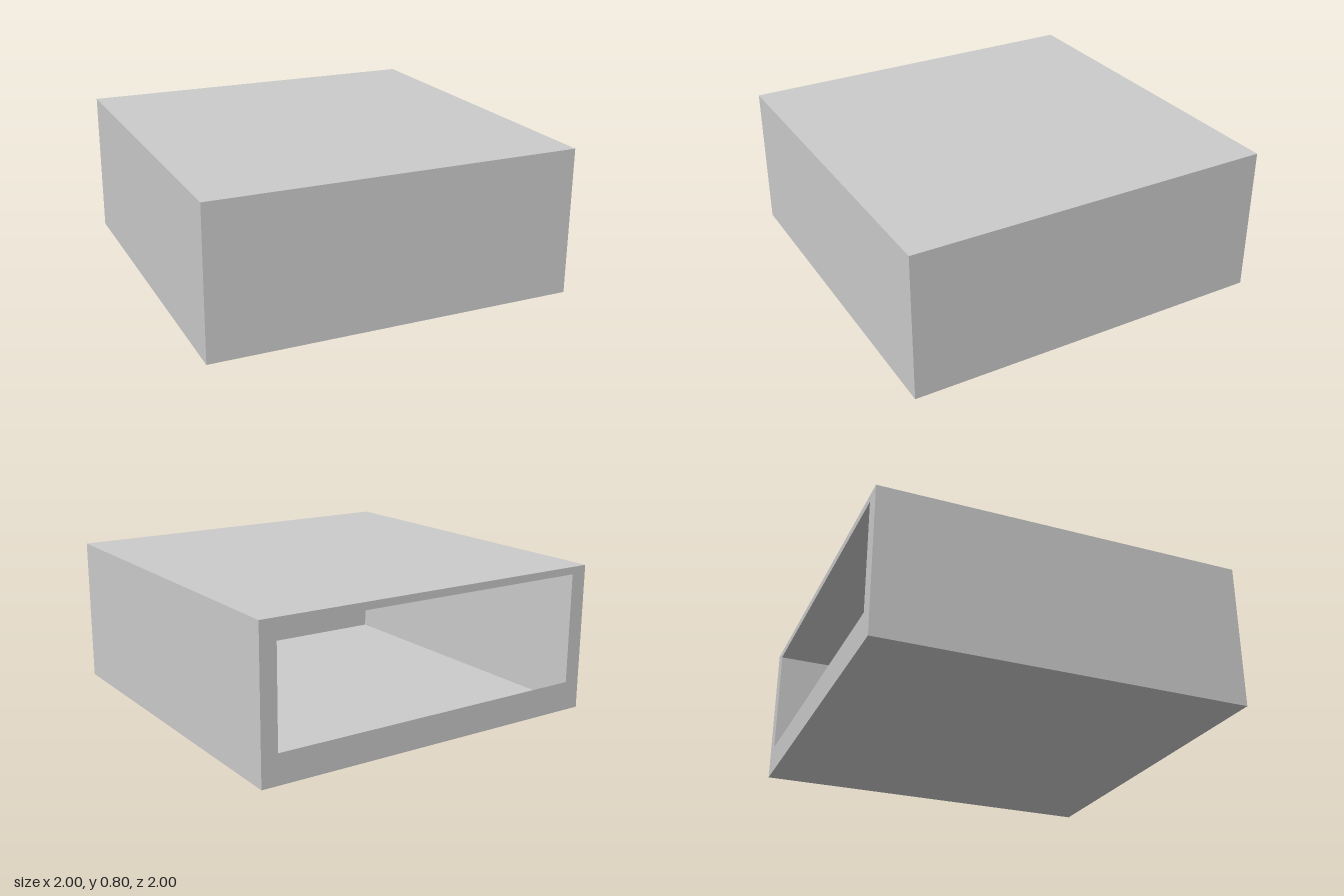
import * as THREE from 'three';

const W = 2, H = 0.8, D = 2;

export function createModel() {
  const model = new THREE.Group();
  model.name = 'openBackedBox';
  const material = new THREE.MeshStandardMaterial({ color: 0xcccccc, side: THREE.DoubleSide });

  // Thin panel facing +z, turned by (rx, ry) and moved into place
  function panel(name, geometry, position, rx = 0, ry = 0) {
    const mesh = new THREE.Mesh(geometry, material);
    mesh.name = name;
    mesh.position.set(...position);
    mesh.rotation.set(rx, ry, 0);
    model.add(mesh);
  }

  // Closed sides
  panel('frontPanel', new THREE.PlaneGeometry(W, H), [0, H / 2, D / 2]);
  panel('topPanel', new THREE.PlaneGeometry(W, D), [0, H, 0], -Math.PI / 2);
  panel('bottomPanel', new THREE.PlaneGeometry(W, D), [0, 0, 0], Math.PI / 2);
  for (const [name, s] of [['leftPanel', 1], ['rightPanel', -1]]) {
    panel(name, new THREE.PlaneGeometry(D, H), [s * W / 2, H / 2, 0], 0, s * Math.PI / 2);
  }

  // Back frame with a wide opening set close to the top
  const rectangle = (Type, x, y0, y1) => new Type([
    new THREE.Vector2(-x, y0), new THREE.Vector2(x, y0),
    new THREE.Vector2(x, y1), new THREE.Vector2(-x, y1),
  ]);
  const frame = rectangle(THREE.Shape, W / 2, 0, H);
  frame.holes.push(rectangle(THREE.Path, 0.91, 0.16, 0.76));
  panel('backFrame', new THREE.ShapeGeometry(frame), [0, 0, -D / 2], 0, Math.PI);

  return model;
}
